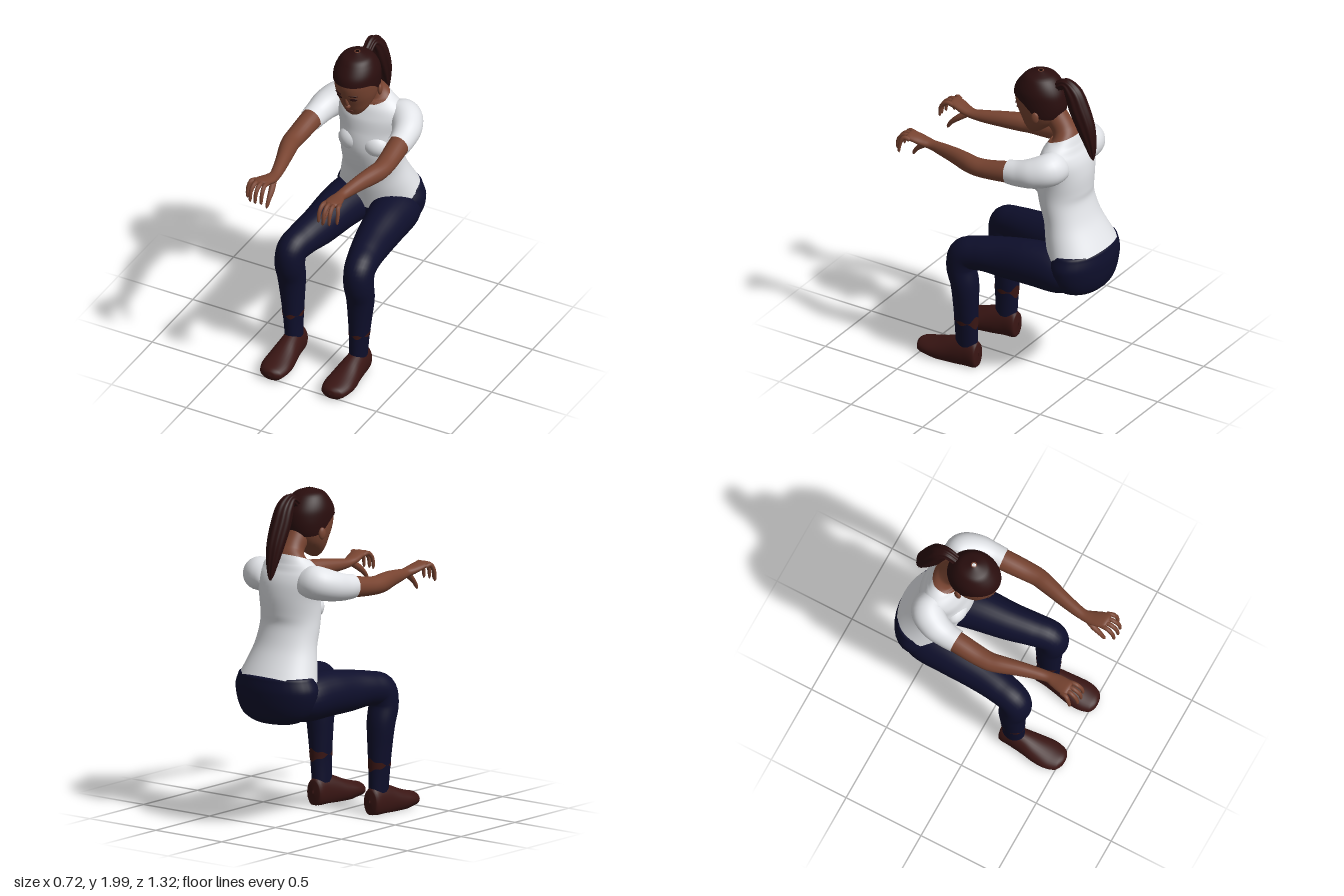
import * as THREE from 'three';

const paint = (name, color, side = THREE.FrontSide) =>
  Object.assign(new THREE.MeshStandardMaterial({ color, side }), { name });

// Smooth skin through elliptical sections [x, y, z, halfWidth, halfDepth].
// Returns a function of t (0..1 along the part), angle and outward offset.
function surface(rows, axis) {
  const path = new THREE.CatmullRomCurve3(rows.map(r => new THREE.Vector3(r[0], r[1], r[2])));
  const size = new THREE.CatmullRomCurve3(rows.map(r => new THREE.Vector3(r[3], r[4], 0)), false, 'catmullrom');
  return (t, angle, grow = 0) => {
    const T = axis || path.getTangent(t);
    const U = new THREE.Vector3(1, 0, 0).addScaledVector(T, -T.x).normalize();
    const V = new THREE.Vector3().crossVectors(U, T);
    const s = size.getPoint(t);
    const p = path.getPoint(t)
      .addScaledVector(U, (Math.max(s.x, 0.001) + grow) * Math.cos(angle))
      .addScaledVector(V, (Math.max(s.y, 0.001) + grow) * Math.sin(angle));
    p.y = Math.max(p.y, 0);
    return p;
  };
}

// Mesh of a surface between two boundary curves lo(angle) and hi(angle).
function skin(name, material, fn, { lo = () => 0, hi = () => 1, steps = 40, segs = 32, grow = 0, ripple = 0 } = {}) {
  const pos = [], index = [];
  for (let i = 0; i <= steps; i++) {
    for (let j = 0; j < segs; j++) {
      const a = j / segs * Math.PI * 2;
      const t = THREE.MathUtils.lerp(lo(a), hi(a), i / steps);
      pos.push(...fn(t, a, grow + ripple * Math.cos(a * 8)).toArray());
      if (i === steps) continue;
      const k = (j + 1) % segs, p = i * segs, q = p + segs;
      index.push(p + j, q + j, p + k, q + j, q + k, p + k);
    }
  }
  const g = new THREE.BufferGeometry();
  g.setAttribute('position', new THREE.Float32BufferAttribute(pos, 3));
  g.setIndex(index);
  g.computeVertexNormals();
  const mesh = new THREE.Mesh(g, material);
  mesh.name = name;
  return mesh;
}

function blob(name, material, p, s, ry = 0, rx = 0) {
  const mesh = new THREE.Mesh(new THREE.SphereGeometry(1, 20, 14), material);
  mesh.name = name;
  mesh.position.set(...p);
  mesh.scale.set(...s);
  mesh.rotation.set(rx, ry, 0);
  return mesh;
}

export function createModel() {
  const model = new THREE.Group();
  model.name = 'seatedWoman';
  const body = paint('skin', 0x784431);
  const shirt = paint('shirt', 0xe4e6ea, THREE.DoubleSide);
  const navy = paint('trousers', 0x0e0f2c);
  const brown = paint('shoes', 0x3a1614, THREE.DoubleSide);
  const dark = paint('hair', 0x2a0e0e, THREE.DoubleSide);
  const white = paint('eyeWhite', 0xa89a92);
  const lip = paint('lips', 0x5c2c24);
  const Y = new THREE.Vector3(0, 1, 0), Z = new THREE.Vector3(0, 0, 1);
  const add = (...m) => model.add(...m);

  // Torso and neck share one surface, divided along the neckline
  const torso = surface([
    [0, 0.87, -0.475, 0.265, 0.185], [0, 1.0, -0.425, 0.225, 0.16], [0, 1.1, -0.395, 0.2, 0.145],
    [0, 1.2, -0.365, 0.193, 0.148], [0, 1.28, -0.357, 0.192, 0.157], [0, 1.38, -0.365, 0.2, 0.152],
    [0, 1.47, -0.365, 0.222, 0.14], [0, 1.53, -0.365, 0.215, 0.118], [0, 1.575, -0.367, 0.17, 0.095],
    [0, 1.61, -0.365, 0.12, 0.08], [0, 1.65, -0.345, 0.075, 0.07], [0, 1.71, -0.3, 0.068, 0.07],
    [0, 1.77, -0.26, 0.066, 0.068],
  ]);
  const neckline = a => (9.1 - 1.3 * Math.max(0, Math.sin(a)) ** 2) / 12;
  add(skin('shirtBody', shirt, torso, { hi: neckline, segs: 48 }));
  add(skin('neck', body, torso, { lo: neckline, steps: 20, segs: 48 }));

  // Hips
  add(skin('hips', navy, surface([
    [0, 0.635, -0.5, 0.03, 0.02], [0, 0.64, -0.5, 0.13, 0.08], [0, 0.68, -0.49, 0.22, 0.14],
    [0, 0.75, -0.483, 0.265, 0.17], [0, 0.84, -0.485, 0.283, 0.175], [0, 0.9, -0.488, 0.265, 0.165],
    [0, 0.93, -0.49, 0.245, 0.152], [0, 0.94, -0.49, 0.18, 0.1],
  ], Y)));

  // Head and hair cap
  const head = surface([
    [0, 1.578, -0.143, 0.025, 0.018], [0, 1.6, -0.152, 0.055, 0.048], [0, 1.64, -0.167, 0.085, 0.082],
    [0, 1.68, -0.183, 0.104, 0.115], [0, 1.73, -0.188, 0.119, 0.143], [0, 1.78, -0.186, 0.126, 0.157],
    [0, 1.83, -0.183, 0.129, 0.16], [0, 1.88, -0.183, 0.126, 0.15], [0, 1.93, -0.185, 0.108, 0.12],
    [0, 1.97, -0.185, 0.077, 0.08], [0, 1.994, -0.185, 0.012, 0.012],
  ], Y);
  add(skin('head', body, head));
  add(skin('hairCap', dark, head, {
    lo: a => 0.5 + 0.11 * Math.tanh(3 * Math.sin(a)), steps: 24, segs: 48, grow: 0.006,
  }));

  // Ponytail
  add(skin('ponytail', dark, surface([
    [0, 1.92, -0.3, 0.03, 0.03], [0, 1.955, -0.36, 0.035, 0.03], [0, 1.91, -0.41, 0.05, 0.052],
    [0, 1.82, -0.45, 0.057, 0.06], [0, 1.7, -0.5, 0.05, 0.054], [0, 1.6, -0.53, 0.034, 0.036],
    [0, 1.52, -0.545, 0.015, 0.015], [0, 1.495, -0.549, 0.002, 0.002],
  ]), { segs: 64, ripple: 0.0025 }));

  // Face details sit on the head surface at a given x and height t
  const face = (x, t) => head(t, Math.acos(x / head(t, 0).x)).toArray();
  add(blob('nose', body, [0, 1.672, -0.07], [0.017, 0.018, 0.02]));
  add(blob('noseBridge', body, [0, 1.705, -0.058], [0.011, 0.04, 0.014], 0, 0.3));
  add(blob('lips', lip, face(0, 0.17), [0.027, 0.009, 0.005]));

  for (const s of [1, -1]) {
    const side = s > 0 ? 'left' : 'right';
    const row = rows => rows.map(([x, ...r]) => [s * x, ...r]);
    const part = (name, mat, rows, opt, axis) => add(skin(side + name, mat, surface(row(rows), axis), opt));

    // Eyes, brows and ears
    add(blob(side + 'Lashes', dark, face(s * 0.046, 0.42), [0.023, 0.01, 0.004], s * 0.35));
    add(blob(side + 'Eye', white, face(s * 0.046, 0.412), [0.017, 0.005, 0.0048], s * 0.35));
    const [ex, ey, ez] = face(s * 0.044, 0.412);
    add(blob(side + 'Iris', dark, [ex, ey, ez + 0.002], [0.006, 0.006, 0.0045], s * 0.35));
    add(blob(side + 'Brow', dark, face(s * 0.05, 0.475), [0.028, 0.005, 0.004], s * 0.4));
    add(blob(side + 'Ear', body, [s * 0.13, 1.742, -0.225], [0.014, 0.036, 0.024], s * 0.3));

    // Bust
    add(blob(side + 'Bust', shirt, [s * 0.075, 1.305, -0.262], [0.088, 0.075, 0.064]));

    // Sleeve
    part('Sleeve', shirt, [
      [0.12, 1.49, -0.4, 0.06, 0.09], [0.21, 1.483, -0.385, 0.095, 0.1], [0.265, 1.46, -0.31, 0.09, 0.092],
      [0.285, 1.44, -0.22, 0.076, 0.08], [0.29, 1.433, -0.145, 0.07, 0.073],
    ], { steps: 24 });

    // Arm running into the palm
    part('Arm', body, [
      [0.285, 1.445, -0.25, 0.06, 0.064], [0.292, 1.43, -0.14, 0.064, 0.064], [0.3, 1.41, 0, 0.06, 0.056],
      [0.3, 1.405, 0.08, 0.056, 0.055], [0.285, 1.405, 0.15, 0.052, 0.056], [0.258, 1.405, 0.25, 0.044, 0.049],
      [0.232, 1.402, 0.36, 0.037, 0.038], [0.22, 1.403, 0.43, 0.034, 0.029], [0.223, 1.412, 0.48, 0.044, 0.026],
      [0.235, 1.43, 0.54, 0.05, 0.022], [0.24, 1.438, 0.575, 0.046, 0.018], [0.24, 1.438, 0.592, 0.015, 0.005],
    ], { steps: 60, segs: 24 });

    // Fingers curl down and fan outward
    const fine = { steps: 14, segs: 10 };
    for (let i = 0; i < 4; i++) {
      const x = 0.2 + 0.027 * i, tip = 0.192 + 0.036 * i, reach = [0, 0.008, 0.003, -0.03][i];
      part('Finger' + (i + 1), body, [
        [x, 1.43, 0.55, 0.014, 0.014], [(x + tip) / 2, 1.438, 0.6 + reach / 2, 0.014, 0.014],
        [tip, 1.405, 0.635 + reach, 0.012, 0.012], [tip, 1.35, 0.645 + reach, 0.009, 0.009],
        [tip, 1.335, 0.643 + reach, 0.002, 0.002],
      ], fine);
    }
    part('Thumb', body, [
      [0.205, 1.4, 0.465, 0.02, 0.02], [0.192, 1.365, 0.515, 0.019, 0.019], [0.187, 1.325, 0.56, 0.014, 0.014],
      [0.187, 1.29, 0.583, 0.01, 0.01], [0.187, 1.278, 0.588, 0.002, 0.002],
    ], fine);

    // Bent leg with a ragged brown band above the ankle
    const leg = surface(row([
      [0.12, 0.77, -0.56, 0.1, 0.1], [0.14, 0.78, -0.42, 0.143, 0.138], [0.16, 0.785, -0.25, 0.132, 0.139],
      [0.18, 0.773, -0.05, 0.113, 0.125], [0.205, 0.765, 0.1, 0.1, 0.105], [0.225, 0.738, 0.2, 0.092, 0.1],
      [0.23, 0.66, 0.223, 0.09, 0.09], [0.23, 0.55, 0.2, 0.085, 0.085], [0.225, 0.4, 0.195, 0.07, 0.078],
      [0.22, 0.25, 0.195, 0.056, 0.073], [0.215, 0.13, 0.195, 0.05, 0.07],
    ]));
    add(skin(side + 'TrouserLeg', navy, leg, { steps: 60 }));
    const rear = a => Math.max(0, Math.sin(a)) ** 4;
    add(skin(side + 'AnkleBand', brown, leg, {
      lo: a => 0.862 - 0.02 * rear(a) - 0.006 * Math.cos(5 * a),
      hi: a => 0.872 + 0.02 * rear(a) + 0.006 * Math.cos(5 * a),
      steps: 4, segs: 40, grow: 0.002,
    }));

    // Shoe with a flat sole
    part('Shoe', brown, [
      [0.215, 0.08, 0.112, 0.005, 0.01], [0.215, 0.075, 0.12, 0.05, 0.08], [0.215, 0.075, 0.2, 0.06, 0.1],
      [0.212, 0.065, 0.28, 0.072, 0.092], [0.21, 0.05, 0.36, 0.086, 0.075], [0.208, 0.045, 0.44, 0.09, 0.053],
      [0.205, 0.04, 0.505, 0.07, 0.042], [0.202, 0.042, 0.527, 0.035, 0.025], [0.202, 0.042, 0.532, 0.003, 0.003],
    ], { steps: 40 }, Z);
  }
  return model;
}
